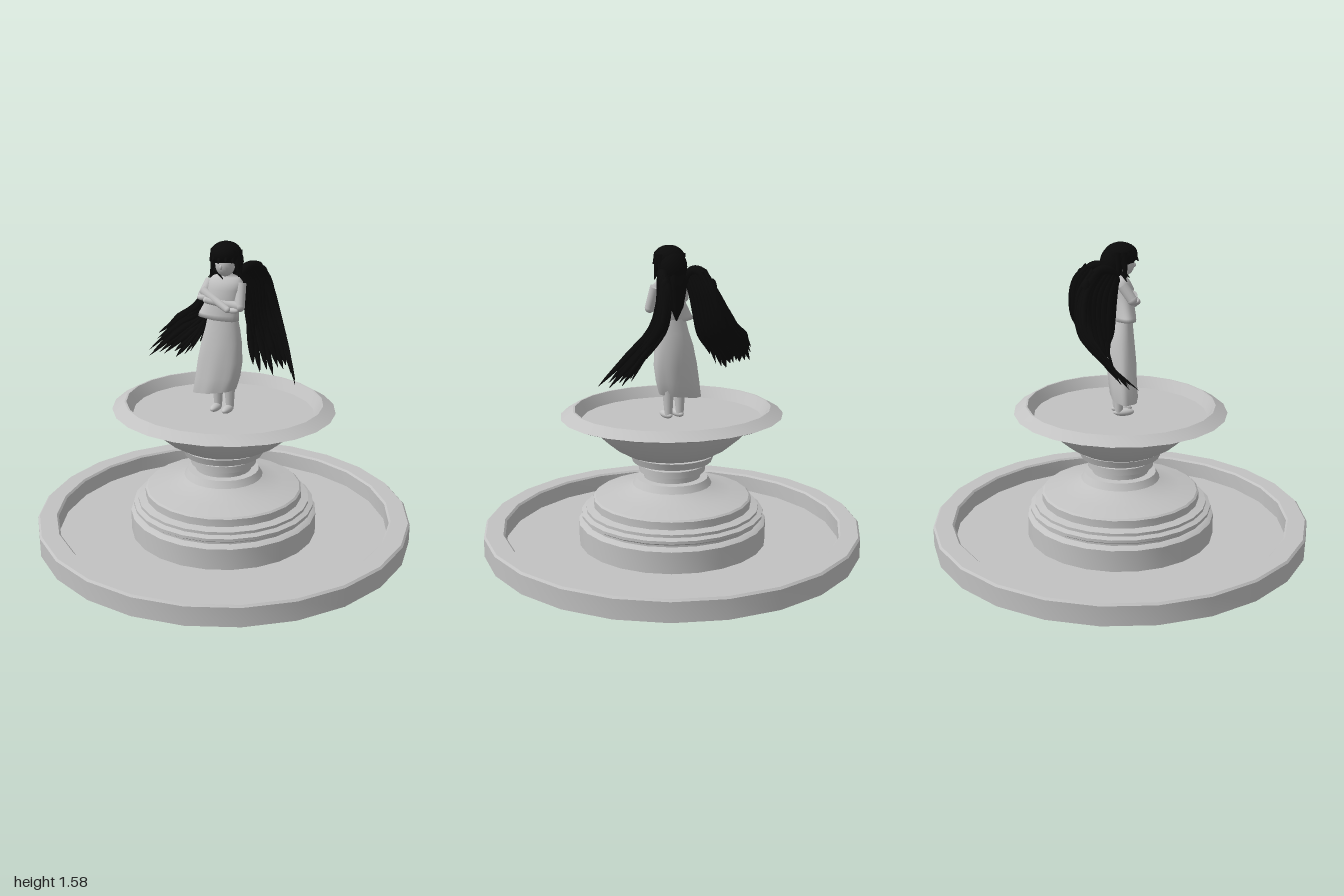
import * as THREE from 'three';
import { toCreasedNormals } from 'three/addons/utils/BufferGeometryUtils.js';

const stone = new THREE.MeshStandardMaterial({ color: 0xc2c2c2 });
stone.name = 'pale stone';
const black = new THREE.MeshStandardMaterial({ color: 0x0a0a0a, side: THREE.DoubleSide });
black.name = 'black plumage';

const V = (p) => new THREE.Vector3(...p);
const spline = (pts) => new THREE.CatmullRomCurve3(pts.map((p) => (p.isVector3 ? p : V(p))));

function add(parent, name, geometry, material) {
  const mesh = new THREE.Mesh(geometry, material);
  mesh.name = name;
  parent.add(mesh);
  return mesh;
}

// Turned part with 24 sides and sharp profile edges
function turned(parent, name, profile) {
  const pts = profile.map(([r, y]) => new THREE.Vector2(r, y));
  return add(parent, name, toCreasedNormals(new THREE.LatheGeometry(pts, 24), 0.45), stone);
}

// Closed skin over equal-sized rings of points
function loft(rings) {
  const n = rings[0].length, pos = [], idx = [];
  rings.forEach((ring) => ring.forEach((p) => pos.push(p.x, p.y, p.z)));
  for (let j = 0; j < rings.length - 1; j++) {
    for (let i = 0; i < n; i++) {
      const a = j * n + i, b = j * n + (i + 1) % n;
      idx.push(a, b, b + n, a, b + n, a + n);
    }
  }
  const g = new THREE.BufferGeometry();
  g.setAttribute('position', new THREE.Float32BufferAttribute(pos, 3));
  g.setIndex(idx);
  g.computeVertexNormals();
  return g;
}

// Upright body from ovals [y, centreX, centreZ, radiusX, radiusZ, fold, tilt]
function body(parent, name, ovals, material) {
  const rings = ovals.map(([y, cx, cz, rx, rz, fold = 0, tilt = 0]) =>
    Array.from({ length: 32 }, (_, i) => {
      const a = (i / 32) * Math.PI * 2, k = 1 + fold * Math.sin(a * 7);
      const x = rx * k * Math.cos(a);
      return new THREE.Vector3(cx + x, y + tilt * x, cz - rz * k * Math.sin(a));
    }));
  return add(parent, name, loft(rings), material);
}

function ball(parent, name, p, s, material) {
  const mesh = add(parent, name, new THREE.SphereGeometry(1, 20, 14), material);
  mesh.position.set(...p);
  mesh.scale.set(...s);
  return mesh;
}

// Tapered limb between two points, rounded at its far end
function limb(parent, name, a, b, r1, r2, material = stone) {
  const A = V(a), B = V(b), d = B.clone().sub(A);
  const mesh = add(parent, name, new THREE.CylinderGeometry(r2, r1, d.length(), 12), material);
  mesh.position.copy(A).add(B).multiplyScalar(0.5);
  mesh.quaternion.setFromUnitVectors(new THREE.Vector3(0, 1, 0), d.normalize());
  if (r2 > 0.004) ball(parent, name + 'End', b, [r2, r2, r2], material);
}

// Wing: feathers laid along a curved sheet; each row runs from outer to inner edge
function wing(name, rows, arm) {
  const g = new THREE.Group();
  g.name = name;
  const across = rows.map(spline);
  const column = (u) => spline(across.map((c) => c.getPoint(u)));
  const feather = (u, t0, t1, width, lift) => {
    const mid = column(u);
    const lo = column(Math.max(0, u - 0.04)), hi = column(Math.min(1, u + 0.04));
    const rings = [];
    for (let k = 0; k <= 14; k++) {
      const s = k / 14, t = t0 + (t1 - t0) * s;
      const side = hi.getPoint(t).sub(lo.getPoint(t)).normalize();
      const normal = side.clone().cross(mid.getTangent(t)).normalize();
      const w = width * (0.75 + 0.35 * s) * Math.sqrt(Math.max(0.002, Math.min(1, (1 - s) * 3)));
      const c = mid.getPoint(t).addScaledVector(normal, lift);
      const th = Math.min(0.011, w * 0.4);
      rings.push([[w, 0], [0, th], [-w, 0], [0, -th]].map(([p, q]) =>
        c.clone().addScaledVector(side, p).addScaledVector(normal, q)));
    }
    return loft(rings);
  };
  const count = 12;
  for (let i = 0; i < count; i++) {
    const u = i / (count - 1);
    add(g, 'flightFeather', feather(u, 0, i % 2 ? 0.96 : 1, 0.026, (i % 2) * 0.006), black);
    if (i < count - 1) {
      for (const lift of [-0.012, 0.012]) {
        add(g, 'covertFeather', feather(u + 0.04, 0, 0.62 + 0.06 * (i % 3), 0.026, lift), black);
      }
    }
  }
  add(g, 'wingArm', new THREE.TubeGeometry(spline(arm), 20, 0.026, 10), black);
  ball(g, 'wingShoulder', arm[0], [0.026, 0.026, 0.026], black);
  ball(g, 'wingWrist', arm[arm.length - 1], [0.026, 0.05, 0.026], black);
  return g;
}

function createFigure() {
  const f = new THREE.Group();
  f.name = 'wingedFigure';

  // Legs and feet
  for (const x of [-0.038, 0.03]) {
    limb(f, 'leg', [x, 0.7, -0.015], [x, 0.95, -0.005], 0.02, 0.04);
    ball(f, 'foot', [x, 0.697, 0.012], [0.024, 0.02, 0.055], stone);
  }

  // Long skirt with a slanted hem
  body(f, 'skirt', [
    [0.83, -0.05, 0.01, 0.03, 0.02], [0.8, -0.05, 0.01, 0.11, 0.062, 0.04, 0.15],
    [0.79, -0.052, 0.01, 0.12, 0.07, 0.04, 0.15], [0.87, -0.034, 0.005, 0.124, 0.072, 0.03, 0.08],
    [0.96, -0.02, 0.003, 0.122, 0.074, 0.02], [1.06, -0.01, 0, 0.109, 0.07],
    [1.13, -0.002, 0.005, 0.094, 0.06], [1.2, 0, 0.01, 0.08, 0.05],
  ], stone);

  // Bodice, shoulders and neck
  body(f, 'bodice', [
    [1.19, -0.005, 0.015, 0.07, 0.04], [1.185, -0.022, 0.02, 0.112, 0.055, 0.03, -0.06],
    [1.21, -0.016, 0.02, 0.108, 0.055], [1.28, 0.005, 0.015, 0.09, 0.052],
    [1.34, 0.012, 0.015, 0.092, 0.056], [1.38, 0.015, 0.005, 0.092, 0.046],
    [1.4, 0.016, 0, 0.07, 0.036], [1.412, 0.017, 0, 0.034, 0.03], [1.46, 0.02, 0.01, 0.028, 0.028],
  ], stone);

  // Folded arms
  limb(f, 'upperArm', [0.095, 1.37, 0], [0.108, 1.26, 0.04], 0.029, 0.026);
  limb(f, 'forearm', [0.108, 1.26, 0.04], [-0.06, 1.285, 0.075], 0.025, 0.017);
  limb(f, 'upperArm', [-0.07, 1.37, 0], [-0.094, 1.3, 0.045], 0.029, 0.026);
  limb(f, 'forearm', [-0.094, 1.325, 0.045], [0.06, 1.25, 0.085], 0.025, 0.017);
  ball(f, 'hand', [-0.085, 1.295, 0.07], [0.03, 0.015, 0.014], stone);
  ball(f, 'hand', [0.085, 1.245, 0.075], [0.03, 0.014, 0.014], stone);

  // Head and hair
  ball(f, 'head', [0.02, 1.468, 0.022], [0.05, 0.064, 0.054], stone);
  ball(f, 'nose', [0.021, 1.458, 0.075], [0.007, 0.012, 0.009], stone);
  ball(f, 'hairCrown', [0.015, 1.515, 0.004], [0.078, 0.062, 0.086], black);
  ball(f, 'hairBack', [0.015, 1.47, -0.04], [0.073, 0.085, 0.062], black);
  body(f, 'hairFall', [
    [1.2, 0.01, -0.062, 0.004, 0.004], [1.27, 0.01, -0.065, 0.035, 0.018, 0.1],
    [1.37, 0.012, -0.065, 0.055, 0.028, 0.08], [1.47, 0.015, -0.05, 0.06, 0.045, 0.05],
    [1.54, 0.015, -0.03, 0.02, 0.02],
  ], black);
  for (let i = 0; i < 9; i++) {
    const a = -1.9 + i * 0.475, s = Math.sin(a), c = Math.cos(a);
    const drop = Math.abs(a) > 1.1 ? 1.405 : 1.48 + 0.008 * (i % 2);
    limb(f, 'hairLock', [0.015 + 0.055 * s, 1.53, 0.055 * c], [0.015 + 0.078 * s, drop, 0.005 + 0.09 * c], 0.026, 0.003, black);
  }
  limb(f, 'looseStrand', [-0.04, 1.43, 0.01], [0.02, 1.395, 0.05], 0.01, 0.002, black);
  limb(f, 'looseStrand', [-0.04, 1.43, 0], [-0.075, 1.39, 0.02], 0.01, 0.002, black);

  // Wings, each with its own spread
  f.add(wing('leftWing', [
    [[0.135, 1.43, -0.13], [0.125, 1.44, -0.15], [0.105, 1.44, -0.08], [0.085, 1.41, -0.03]],
    [[0.16, 1.36, -0.18], [0.145, 1.36, -0.21], [0.12, 1.36, -0.14], [0.095, 1.34, -0.04]],
    [[0.215, 1.2, -0.19], [0.18, 1.2, -0.22], [0.135, 1.19, -0.15], [0.115, 1.18, -0.05]],
    [[0.31, 1.05, -0.1], [0.27, 1.04, -0.16], [0.21, 1.04, -0.1], [0.15, 1.06, 0]],
    [[0.41, 0.885, 0.03], [0.37, 0.89, -0.06], [0.3, 0.92, -0.11], [0.27, 0.91, 0], [0.2, 0.96, 0.08]],
  ], [[0.06, 1.38, -0.03], [0.095, 1.435, -0.06], [0.12, 1.44, -0.12], [0.14, 1.38, -0.18]]));
  f.add(wing('rightWing', [
    [[-0.1, 1.44, -0.13], [-0.095, 1.45, -0.15], [-0.08, 1.45, -0.08], [-0.07, 1.41, -0.03]],
    [[-0.145, 1.34, -0.19], [-0.12, 1.34, -0.22], [-0.1, 1.34, -0.15], [-0.09, 1.32, -0.05]],
    [[-0.25, 1.18, -0.2], [-0.19, 1.16, -0.225], [-0.145, 1.15, -0.16], [-0.12, 1.15, -0.07]],
    [[-0.35, 1.1, -0.15], [-0.32, 1.06, -0.14], [-0.24, 1.03, -0.12], [-0.15, 1.07, -0.08]],
    [[-0.43, 1.03, -0.09], [-0.46, 0.94, -0.03], [-0.42, 0.93, 0.02], [-0.34, 0.94, -0.04],
      [-0.28, 0.92, -0.05], [-0.18, 1, -0.08]],
  ], [[-0.04, 1.38, -0.03], [-0.07, 1.44, -0.06], [-0.09, 1.45, -0.12], [-0.12, 1.37, -0.19]]));
  return f;
}

export function createModel() {
  const model = new THREE.Group();
  model.name = 'fountain';

  // Wide ground basin
  turned(model, 'groundBasin', [
    [0, 0], [1, 0], [1, 0.1], [0.99, 0.11], [0.9, 0.11], [0.89, 0.1], [0.89, 0.012], [0, 0.012],
  ]);

  // Stepped pedestal and moulded neck
  turned(model, 'pedestal', [
    [0.5, 0.01], [0.5, 0.125], [0.485, 0.135], [0.47, 0.14], [0.47, 0.15], [0.485, 0.16], [0.485, 0.175],
    [0.46, 0.185], [0.46, 0.2], [0.42, 0.21], [0.42, 0.25], [0.41, 0.258], [0.32, 0.278], [0.24, 0.297],
    [0.19, 0.32], [0.21, 0.322], [0.19, 0.358], [0.15, 0.36], [0.15, 0.39], [0.175, 0.395],
    [0.175, 0.43], [0.15, 0.435], [0.15, 0.45], [0.21, 0.45], [0.225, 0.488], [0.2, 0.49], [0, 0.49],
  ]);

  // Upper bowl, slightly narrower front to back
  turned(model, 'upperBowl', [
    [0, 0.475], [0.2, 0.485], [0.25, 0.5], [0.31, 0.535], [0.37, 0.585], [0.425, 0.645], [0.455, 0.69],
    [0.56, 0.69], [0.59, 0.702], [0.525, 0.74], [0.515, 0.74], [0.48, 0.68], [0, 0.68],
  ]).scale.z = 0.945;

  model.add(createFigure());
  return model;
}
